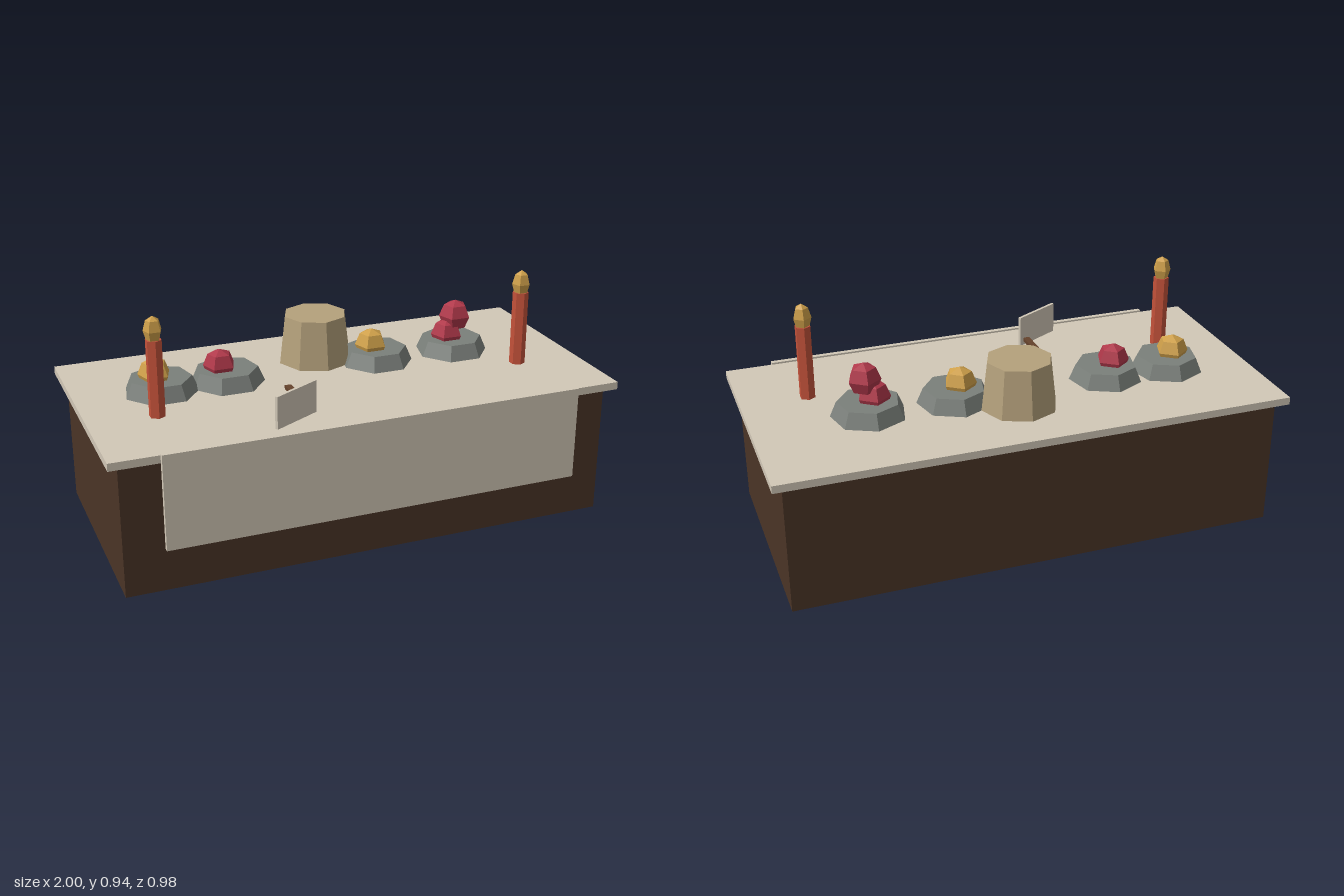
import * as THREE from 'three';

const material = (color) => new THREE.MeshStandardMaterial({ color, flatShading: true });
const wood = material(0x4a3426);
const linen = material(0xd2c8b7);
const stone = material(0x7b807b);
const clay = material(0xb5a17c);
const wax = material(0xc4523a);
const gold = material(0xcfa04a);
const red = material(0xb0384a);

const TOP = 0.55; // height of the table surface
const DISH_Z = -0.083;

export function createModel() {
  const model = new THREE.Group();

  function add(name, geometry, mat, x, y, z) {
    const mesh = new THREE.Mesh(geometry, mat);
    mesh.name = name;
    mesh.position.set(x, y, z);
    model.add(mesh);
    return mesh;
  }
  const box = (name, w, h, d, mat, x, y, z) =>
    add(name, new THREE.BoxGeometry(w, h, d), mat, x, y, z);

  // Five-sided faceted ball with one corner toward the back
  const ball = (name, r, height, mat, x, y, z) =>
    add(name, new THREE.SphereGeometry(r, 5, 4).rotateY(-Math.PI / 2).scale(1, height, 1), mat, x, y, z);

  // Table
  box('tableBase', 1.92, 0.52, 0.887, wood, 0, 0.26, -0.007);
  box('tableTop', 2, 0.03, 0.961, linen, 0, 0.535, -0.008);
  box('frontCloth', 1.63, 0.37, 0.02, linen, 0, 0.372, 0.481);

  // Candles with flames
  for (const side of [-1, 1]) {
    add('candle', new THREE.CylinderGeometry(0.031, 0.031, 0.296, 6), wax, side * 0.74, TOP + 0.148, 0.14);
    ball('flame', 0.036, 0.055 / 0.036, gold, side * 0.74, 0.88, 0.14);
  }

  // Seven-sided dishes, one corner toward the back
  for (const x of [-0.668, -0.405, 0.22, 0.555]) {
    const dish = new THREE.CylinderGeometry(0.12, 0.146, 0.06, 7).rotateY(Math.PI);
    add('dish', dish, stone, x, TOP + 0.03, DISH_Z);
  }

  // Fruit on the dishes
  const fruit = [
    [-0.69, 0.625, gold],
    [-0.433, 0.625, red],
    [0.198, 0.625, gold],
    [0.534, 0.625, red],
    [0.568, 0.7, red],
  ];
  for (const [x, y, mat] of fruit) ball('fruit', 0.065, 1, mat, x, y, DISH_Z);

  // Tapered block
  add('choppingBlock', new THREE.CylinderGeometry(0.127, 0.15, 0.195, 8), clay, 0, TOP + 0.0965, -0.195);

  // Cleaver
  const blade = box('cleaverBlade', 0.212, 0.125, 0.012, linen, -0.283, TOP + 0.0625, 0.362);
  blade.rotation.y = 0.5;
  box('cleaverHandle', 0.026, 0.015, 0.216, wood, -0.222, 0.573, 0.21).material = material(0x65422c);

  return model;
}
